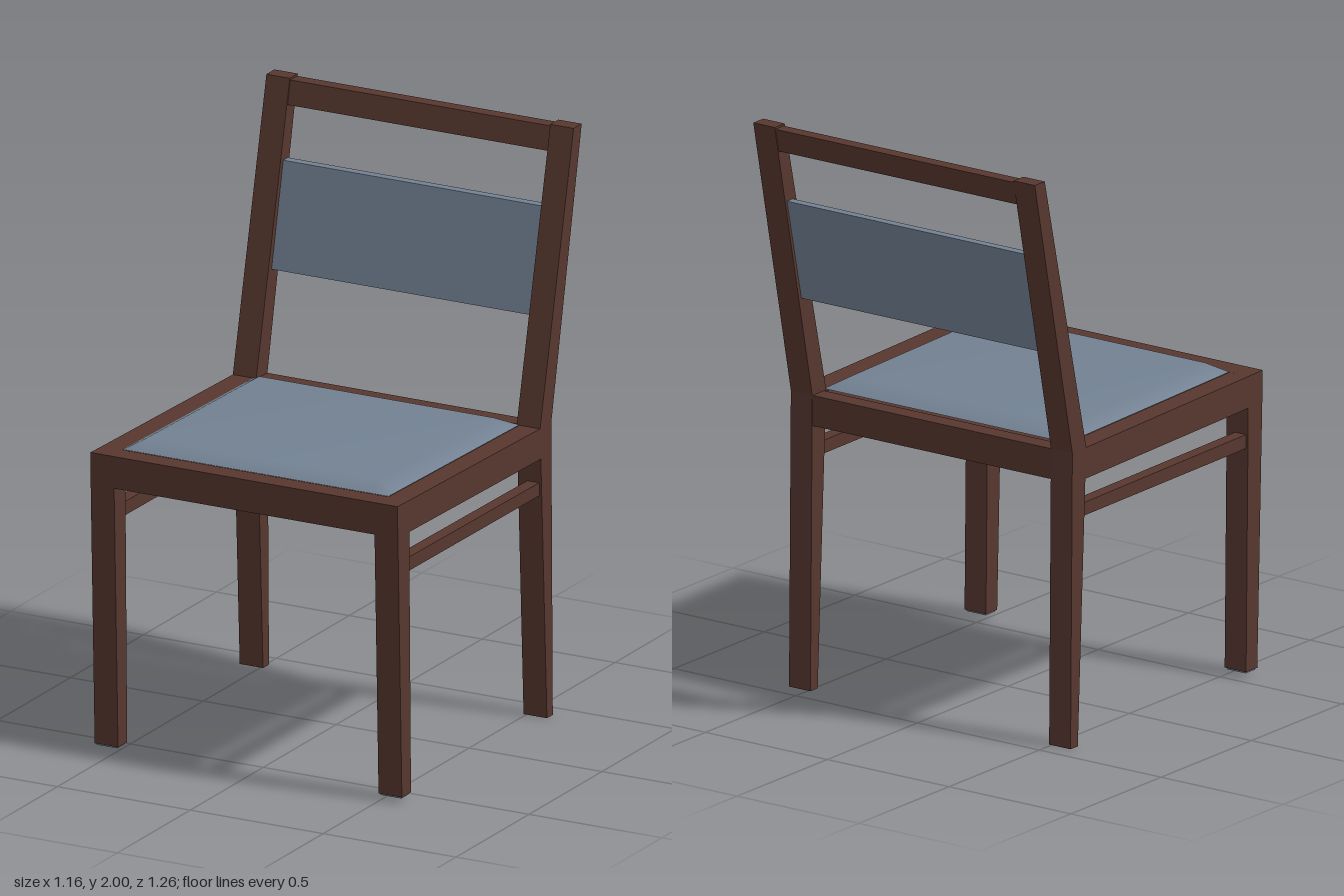
import * as THREE from 'three';

export function createModel() {
  const model = new THREE.Group();
  model.name = 'chair';

  const wood = new THREE.MeshStandardMaterial({ color: 0x57372f });
  wood.name = 'dark brown wood';
  const fabric = new THREE.MeshStandardMaterial({ color: 0x728192 });
  fabric.name = 'slate blue fabric';

  // Side profile as [z, y] corners, extruded across x from x0 to x1
  function bar(name, material, x0, x1, profile) {
    const shape = new THREE.Shape(profile.map(([z, y]) => new THREE.Vector2(z, y)));
    const geometry = new THREE.ExtrudeGeometry(shape, { depth: x1 - x0, bevelEnabled: false });
    geometry.rotateY(-Math.PI / 2);
    geometry.translate(x1, 0, 0);
    const mesh = new THREE.Mesh(geometry, material);
    mesh.name = name;
    model.add(mesh);
  }

  // The same bar on both sides of the chair
  function pair(name, material, x0, x1, profile) {
    bar('left' + name, material, x0, x1, profile);
    bar('right' + name, material, -x1, -x0, profile);
  }

  // Legs, leaning back posts and side pieces
  pair('FrontLeg', wood, 0.49, 0.578, [[0.54, 0.02], [0.602, 0.02], [0.63, 0.95], [0.552, 0.95]]);
  pair('FrontFootPad', fabric, 0.495, 0.573, [[0.545, 0.014], [0.597, 0.014], [0.597, 0.02], [0.545, 0.02]]);
  pair('BackLeg', wood, 0.49, 0.578, [[-0.392, 0], [-0.35, 0.92], [-0.345, 1.022], [-0.422, 1.022], [-0.432, 0]]);
  pair('BackPost', wood, 0.49, 0.578, [[-0.345, 1.022], [-0.575, 2], [-0.63, 2], [-0.422, 1.022]]);
  pair('SideRail', wood, 0.5, 0.578, [[0.555, 0.93], [0.555, 1.04], [-0.35, 1.022], [-0.35, 0.915]]);
  pair('Stretcher', wood, 0.525, 0.57, [[0.56, 0.79], [0.56, 0.838], [-0.37, 0.83], [-0.37, 0.785]]);

  // Cross rails
  bar('frontRail', wood, -0.578, 0.578, [[0.552, 0.93], [0.63, 0.93], [0.632, 1.042], [0.552, 1.04]]);
  bar('backRail', wood, -0.49, 0.49, [[-0.358, 0.915], [-0.358, 1.021], [-0.42, 1.02], [-0.42, 0.915]]);
  bar('topRail', wood, -0.49, 0.49, [[-0.56, 1.912], [-0.579, 1.993], [-0.626, 1.993], [-0.607, 1.912]]);

  // Seat board under the cushion
  bar('seatBoard', wood, -0.5, 0.5, [[0.552, 0.935], [0.552, 1.03], [-0.345, 1.01], [-0.345, 0.92]]);

  // Padded back panel between the posts
  bar('backPad', fabric, -0.49, 0.49, [[-0.45, 1.372], [-0.53, 1.728], [-0.562, 1.728], [-0.482, 1.372]]);

  // Cushion: a grid with a raised middle and sloping rim
  const xs = [-0.5, -0.44, 0.44, 0.5];
  const zs = [-0.345, -0.275, 0.5, 0.552];
  const cushion = new THREE.PlaneGeometry(1, 1, 3, 3).rotateX(-Math.PI / 2);
  const p = cushion.attributes.position;
  for (let i = 0; i < p.count; i++) {
    const col = i % 4;
    const row = Math.floor(i / 4);
    const inner = col % 3 !== 0 && row % 3 !== 0;
    p.setXYZ(i, xs[col], 1.03 + 0.02 * zs[row] + (inner ? 0.035 : 0), zs[row]);
  }
  cushion.computeVertexNormals();
  const seat = new THREE.Mesh(cushion, fabric);
  seat.name = 'seatCushion';
  model.add(seat);

  return model;
}
